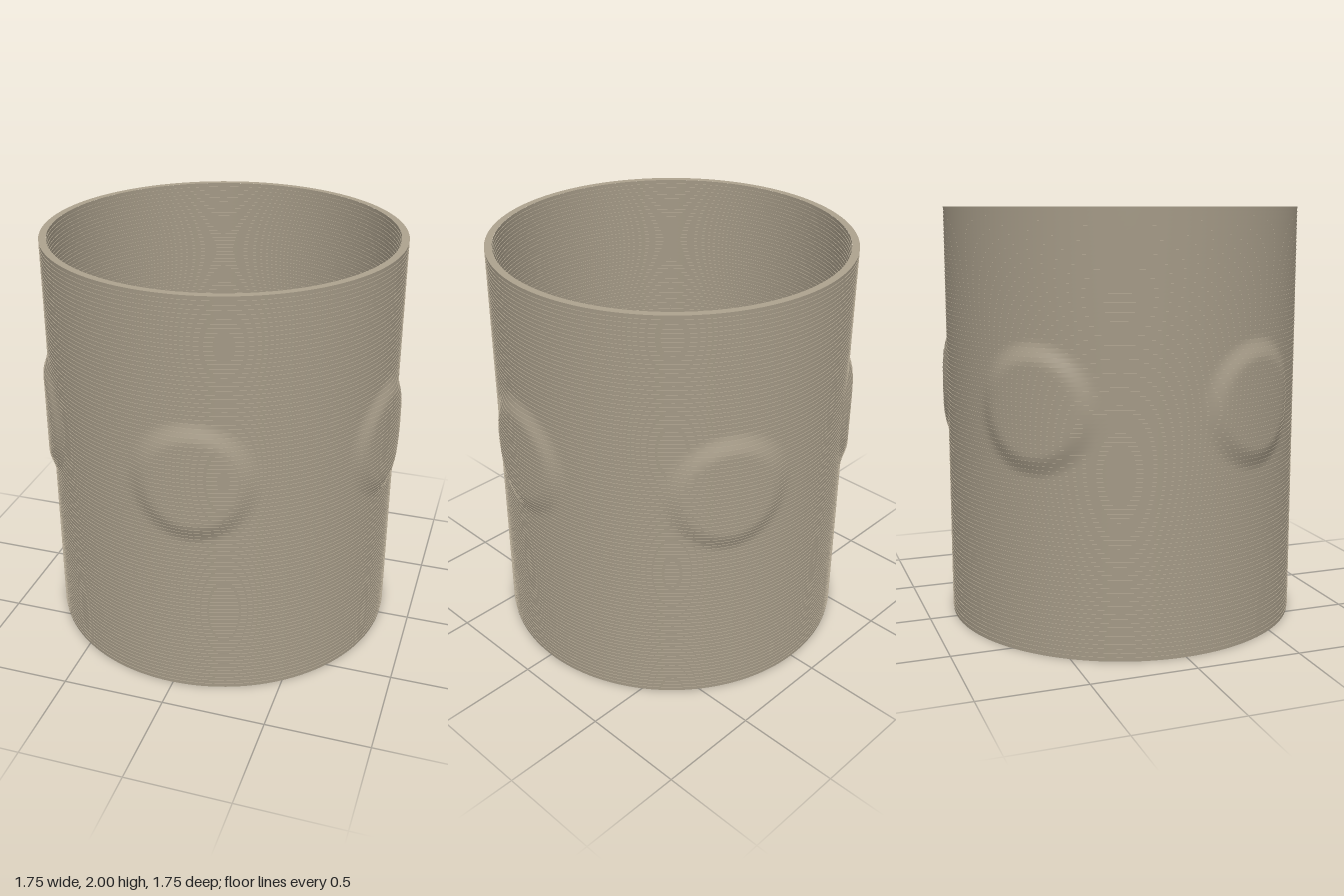
import * as THREE from 'three';

const HEIGHT = 2, LAYERS = 100, STEP = 0.003;
const OUTER = 0.86, INNER = 0.825;
const BUMPS = 5, BUMP_Y = 1.125, BUMP_RADIUS = 0.31, BUMP_FLAT = 0.2, BUMP_HEIGHT = 0.026;
const FIRST_BUMP = THREE.MathUtils.degToRad(10);

// Height of the raised round pads at a point on the wall
function bump(angle, y) {
  const spacing = (Math.PI * 2) / BUMPS;
  const turn = angle - FIRST_BUMP;
  const local = turn - Math.round(turn / spacing) * spacing;
  const distance = Math.hypot(local * OUTER, y - BUMP_Y);
  return BUMP_HEIGHT * (1 - THREE.MathUtils.smoothstep(distance, BUMP_FLAT, BUMP_RADIUS));
}

// Layered wall: each layer has a slightly leaning face and a tiny ledge on top.
// Rows are doubled at every corner so the ridges stay crisp.
function layeredWall(radius, segments, facing, relief) {
  const positions = [], indices = [];
  const strip = (y0, d0, y1, d1) => {
    const start = positions.length / 3;
    for (const [y, d] of [[y0, d0], [y1, d1]]) {
      for (let i = 0; i < segments; i++) {
        const a = (i / segments) * Math.PI * 2;
        const r = radius + facing * d + relief(a, y);
        positions.push(r * Math.cos(a), y, r * Math.sin(a));
      }
    }
    for (let i = 0; i < segments; i++) {
      const a = start + i, b = start + (i + 1) % segments;
      const c = a + segments, d = b + segments;
      if (facing > 0) indices.push(a, c, b, b, c, d);
      else indices.push(a, b, c, b, d, c);
    }
  };
  for (let k = 0; k < LAYERS; k++) {
    const y0 = (k / LAYERS) * HEIGHT, y1 = ((k + 1) / LAYERS) * HEIGHT;
    strip(y0, -STEP, y1, 0);
    if (k < LAYERS - 1) strip(y1, 0, y1, -STEP);
  }
  const geometry = new THREE.BufferGeometry();
  geometry.setAttribute('position', new THREE.Float32BufferAttribute(positions, 3));
  geometry.setIndex(indices);
  geometry.computeVertexNormals();
  return geometry;
}

export function createModel() {
  const group = new THREE.Group();
  group.name = 'ribbedPot';
  const clay = new THREE.MeshStandardMaterial({ color: 0xaca18d });
  clay.name = 'warm grey clay';

  const body = new THREE.Group();
  body.name = 'pot';
  body.position.set(-0.01, 0, -0.01);
  group.add(body);

  const add = (name, geometry, y = 0) => {
    const mesh = new THREE.Mesh(geometry, clay);
    mesh.name = name;
    mesh.position.y = y;
    body.add(mesh);
  };

  // Walls
  add('outerWall', layeredWall(OUTER, 160, 1, bump));
  add('innerWall', layeredWall(INNER, 80, -1, () => 0));

  // Flat rim joining both walls
  add('rim', new THREE.RingGeometry(INNER, OUTER, 160).rotateX(-Math.PI / 2), HEIGHT);

  // Underside, and inside floor with its narrow open wedge
  add('underside', new THREE.CircleGeometry(OUTER - STEP, 160).rotateX(Math.PI / 2));
  const wedge = 0.081;
  add('insideFloor',
    new THREE.CircleGeometry(INNER + STEP, 80, 0, Math.PI * 2 - wedge).rotateX(-Math.PI / 2), 0.004);

  return group;
}
